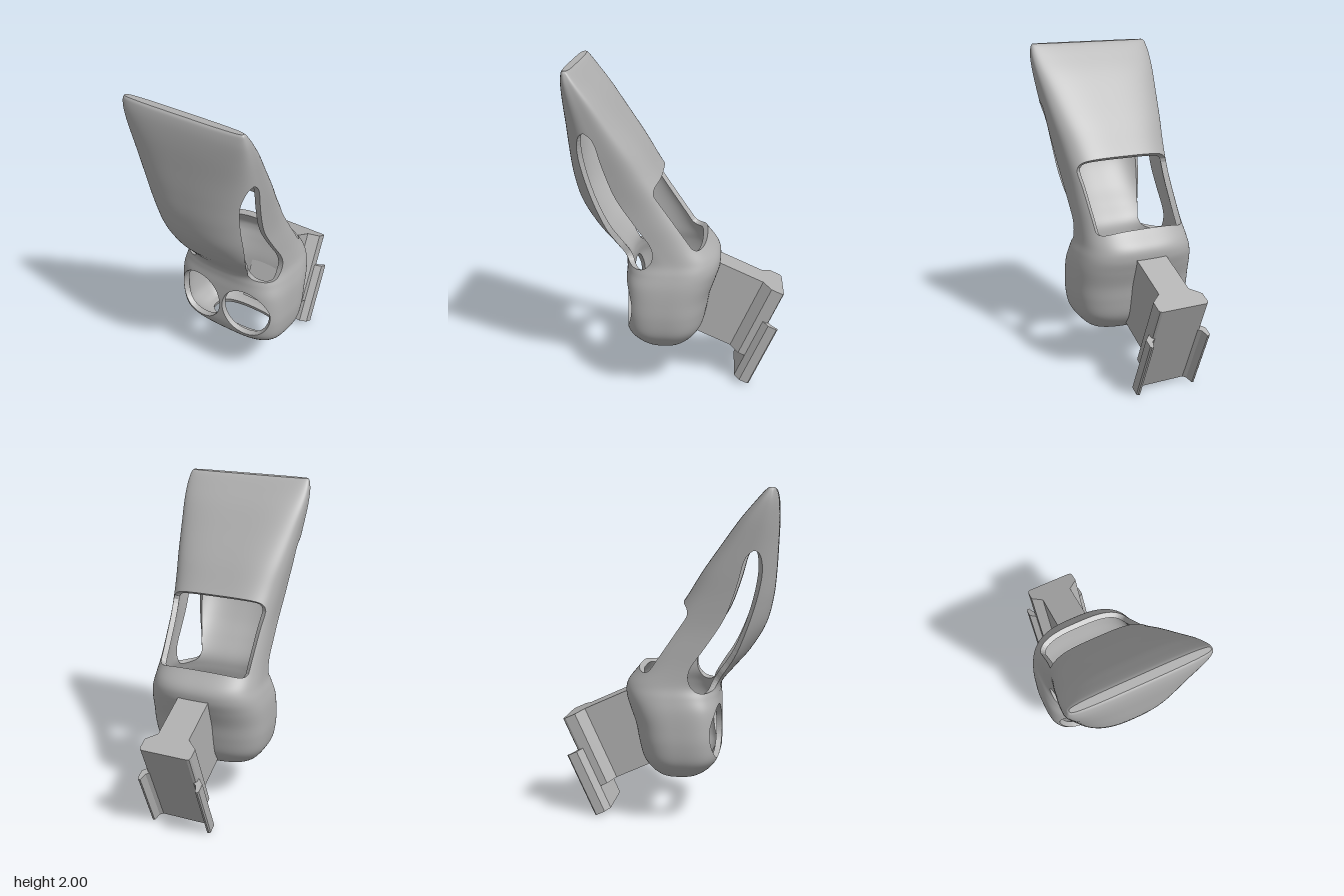
import * as THREE from 'three';

// Hull stations, bottom to top: y, front z, back z, half width, front and back squareness
const STATIONS = [
  [0.28, 0.18, -0.04, 0.23, 2.8, 2.6],
  [0.295, 0.22, -0.075, 0.275, 3, 2.6],
  [0.335, 0.27, -0.12, 0.32, 3.3, 2.7],
  [0.4, 0.31, -0.16, 0.36, 3.8, 2.8],
  [0.5, 0.32, -0.185, 0.378, 4, 2.8],
  [0.6, 0.32, -0.205, 0.38, 4, 2.8],
  [0.7, 0.315, -0.24, 0.375, 4, 2.8],
  [0.78, 0.31, -0.264, 0.36, 3.4, 2.8],
  [0.85, 0.325, -0.255, 0.342, 2.8, 2.8],
  [0.94, 0.4, -0.185, 0.335, 2.6, 3],
  [1.05, 0.495, -0.11, 0.334, 2.6, 3.2],
  [1.2, 0.585, -0.005, 0.337, 2.6, 3.4],
  [1.36, 0.628, 0.105, 0.353, 2.6, 3.5],
  [1.52, 0.645, 0.205, 0.374, 2.7, 3.5],
  [1.68, 0.653, 0.318, 0.393, 2.9, 3.5],
  [1.82, 0.658, 0.42, 0.408, 3.2, 3.5],
  [1.92, 0.655, 0.505, 0.411, 3.5, 3.5],
  [1.98, 0.645, 0.56, 0.402, 3.5, 3.5],
  [2.0, 0.632, 0.585, 0.39, 3.5, 3.5],
];
const AROUND = 144, ROWS = 126, WALL = 0.035;

// Side slot outline as (z, y)
const SLOT = new THREE.SplineCurve([
  [0.515, 1.652], [0.552, 1.62], [0.56, 1.5], [0.51, 1.29], [0.42, 1.05], [0.335, 0.91],
  [0.3, 0.85], [0.28, 0.82], [0.23, 0.81], [0.18, 0.825], [0.142, 0.88], [0.15, 0.96],
  [0.24, 1.09], [0.35, 1.26], [0.42, 1.45], [0.463, 1.6], [0.515, 1.652],
].map(([z, y]) => new THREE.Vector2(z, y))).getPoints(64);

// Signed distance to a closed outline, negative inside
function outlineDistance(px, py, pts) {
  let best = Infinity, inside = false;
  for (let i = 0; i < pts.length - 1; i++) {
    const a = pts[i], b = pts[i + 1], ex = b.x - a.x, ey = b.y - a.y;
    const t = THREE.MathUtils.clamp(((px - a.x) * ex + (py - a.y) * ey) / (ex * ex + ey * ey || 1), 0, 1);
    best = Math.min(best, Math.hypot(px - a.x - t * ex, py - a.y - t * ey));
    if ((a.y > py) !== (b.y > py) && px < a.x + ((py - a.y) / ey) * ex) inside = !inside;
  }
  return inside ? -best : best;
}

// Negative inside any of the hull openings
function openings({ x, y, z }) {
  const eye = Math.max(Math.hypot(Math.abs(x) - 0.173, y - 0.56) - 0.163, 0.1 - z);
  const slot = Math.max(outlineDistance(z, y, SLOT), 0.17 - Math.abs(x));
  // rear window: a rounded box lying along the sloping back
  const dz = z + 0.18, dy = y - 0.945, r = 0.055;
  const along = Math.abs(dz * 0.565 + dy * 0.826 - 0.24) - 0.24 + r;
  const deep = Math.abs(dz * 0.826 - dy * 0.565 + 0.065) - 0.14 + r;
  const rear = Math.hypot(Math.max(along, 0), Math.max(deep, 0)) + Math.min(Math.max(along, deep), 0) - r;
  return Math.min(eye, slot, rear);
}

function hullGeometry() {
  const V = (a) => new THREE.Vector3(...a);
  const spine = new THREE.CatmullRomCurve3(STATIONS.map((s) => V(s.slice(0, 3))), false, 'catmullrom', 0.5);
  const shape = new THREE.CatmullRomCurve3(STATIONS.map((s) => V(s.slice(3))), false, 'catmullrom', 0.5);

  // rows of rounded sections
  const grid = [];
  for (let j = 0; j <= ROWS; j++) {
    const { x: y, y: zf, z: zb } = spine.getPoint(j / ROWS);
    const { x: w, y: nf, z: nb } = shape.getPoint(j / ROWS);
    const half = (zf - zb) / 2, row = [];
    for (let i = 0; i < AROUND; i++) {
      const t = (i / AROUND) * Math.PI * 2, c = Math.cos(t), s = Math.sin(t), n = s > 0 ? nf : nb;
      const r = Math.pow(Math.abs(c) ** n + Math.abs(s) ** n, -1 / n);
      row.push({ o: new THREE.Vector3(w * r * c, y, (zf + zb) / 2 + half * r * s), wall: Math.min(WALL, half * 0.3) });
    }
    grid.push(row);
  }
  const at = (j, i) => grid[THREE.MathUtils.clamp(j, 0, ROWS)][(i + AROUND) % AROUND];

  // normals, inner skin and opening distance
  for (let j = 0; j <= ROWS; j++) for (let i = 0; i < AROUND; i++) {
    const p = at(j, i);
    const up = at(j + 1, i).o.clone().sub(at(j - 1, i).o);
    p.n = up.cross(at(j, i + 1).o.clone().sub(at(j, i - 1).o)).normalize();
    p.i = p.o.clone().addScaledVector(p.n, -p.wall);
    p.f = openings(p.o);
  }

  const pos = [], nor = [];
  const emit = (pts, normals) => pts.forEach((p, k) => {
    pos.push(p.x, p.y, p.z);
    nor.push(normals[k].x, normals[k].y, normals[k].z);
  });
  const flat = (a, b, c) => {
    const n = b.clone().sub(a).cross(c.clone().sub(a)).normalize();
    emit([a, b, c], [n, n, n]);
  };
  const rim = (p, q) => { // wall joining both skins along an edge
    flat(q.o, p.o, p.i);
    flat(q.o, p.i, q.i);
  };
  const mix = (a, b) => {
    const t = a.f / (a.f - b.f);
    return { o: a.o.clone().lerp(b.o, t), i: a.i.clone().lerp(b.i, t), n: a.n.clone().lerp(b.n, t).normalize() };
  };
  const neg = (p) => p.n.clone().negate();
  const clip = (tri) => { // keep the part of a triangle outside the openings
    const keep = [];
    let leave, enter;
    tri.forEach((a, k) => {
      const b = tri[(k + 1) % 3];
      if (a.f > 0) keep.push(a);
      if ((a.f > 0) !== (b.f > 0)) {
        const m = mix(a, b);
        keep.push(m);
        if (a.f > 0) leave = m; else enter = m;
      }
    });
    for (let k = 1; k + 1 < keep.length; k++) {
      const [a, b, c] = [keep[0], keep[k], keep[k + 1]];
      emit([a.o, b.o, c.o], [a.n, b.n, c.n]);
      emit([a.i, c.i, b.i], [neg(a), neg(c), neg(b)]);
    }
    if (leave) rim(leave, enter);
  };

  for (let j = 0; j < ROWS; j++) for (let i = 0; i < AROUND; i++) {
    const a = at(j, i), b = at(j + 1, i), c = at(j, i + 1), d = at(j + 1, i + 1);
    clip([a, b, c]);
    clip([b, d, c]);
  }
  // bottom mouth rim and closed top
  const top = new THREE.Vector3(0, 2, 0.608);
  for (let i = 0; i < AROUND; i++) {
    rim(at(0, i + 1), at(0, i));
    flat(at(ROWS, i + 1).o, at(ROWS, i).o, top);
  }
  const g = new THREE.BufferGeometry();
  g.setAttribute('position', new THREE.Float32BufferAttribute(pos, 3));
  g.setAttribute('normal', new THREE.Float32BufferAttribute(nor, 3));
  return g;
}

// Mirrored (x, u) section swept down the tilted mount from v0 to v1
function mountPart(name, halfSection, v0, v1, material) {
  const mirrored = halfSection.map(([x, u]) => [-x, u]).reverse();
  const shape = new THREE.Shape([...halfSection, ...mirrored].map(([x, u]) => new THREE.Vector2(x, u)));
  const mesh = new THREE.Mesh(new THREE.ExtrudeGeometry(shape, { depth: v1 - v0, bevelEnabled: false }), material);
  mesh.name = name;
  const out = new THREE.Vector3(0, -0.415, -0.91).normalize();
  const up = new THREE.Vector3(0, 0.91, -0.415).normalize();
  const m = new THREE.Matrix4().makeBasis(new THREE.Vector3(1, 0, 0), out, up);
  m.setPosition(new THREE.Vector3(0, 0.6, -0.656).addScaledVector(up, -v1));
  mesh.applyMatrix4(m);
  return mesh;
}

export function createModel() {
  const group = new THREE.Group();
  group.name = 'ductHolder';
  const grey = new THREE.MeshStandardMaterial({ color: 0xb0b0b0 });
  grey.name = 'plain grey';

  const hull = new THREE.Mesh(hullGeometry(), grey);
  hull.name = 'hollowHull';
  group.add(hull);

  // arm with flared end, and the clip plate with rear lips
  group.add(mountPart('mountArm',
    [[0.1, -0.44], [0.1, -0.14], [0.163, -0.085], [0.163, -0.02], [0.157, -0.006], [0.143, 0]], 0, 0.476, grey));
  group.add(mountPart('clipPlate',
    [[0.163, -0.04], [0.2, -0.005], [0.2, 0.052], [0.192, 0.06], [0.18, 0.06], [0.165, 0.015], [0.145, 0]], 0.215, 0.628, grey));
  return group;
}
